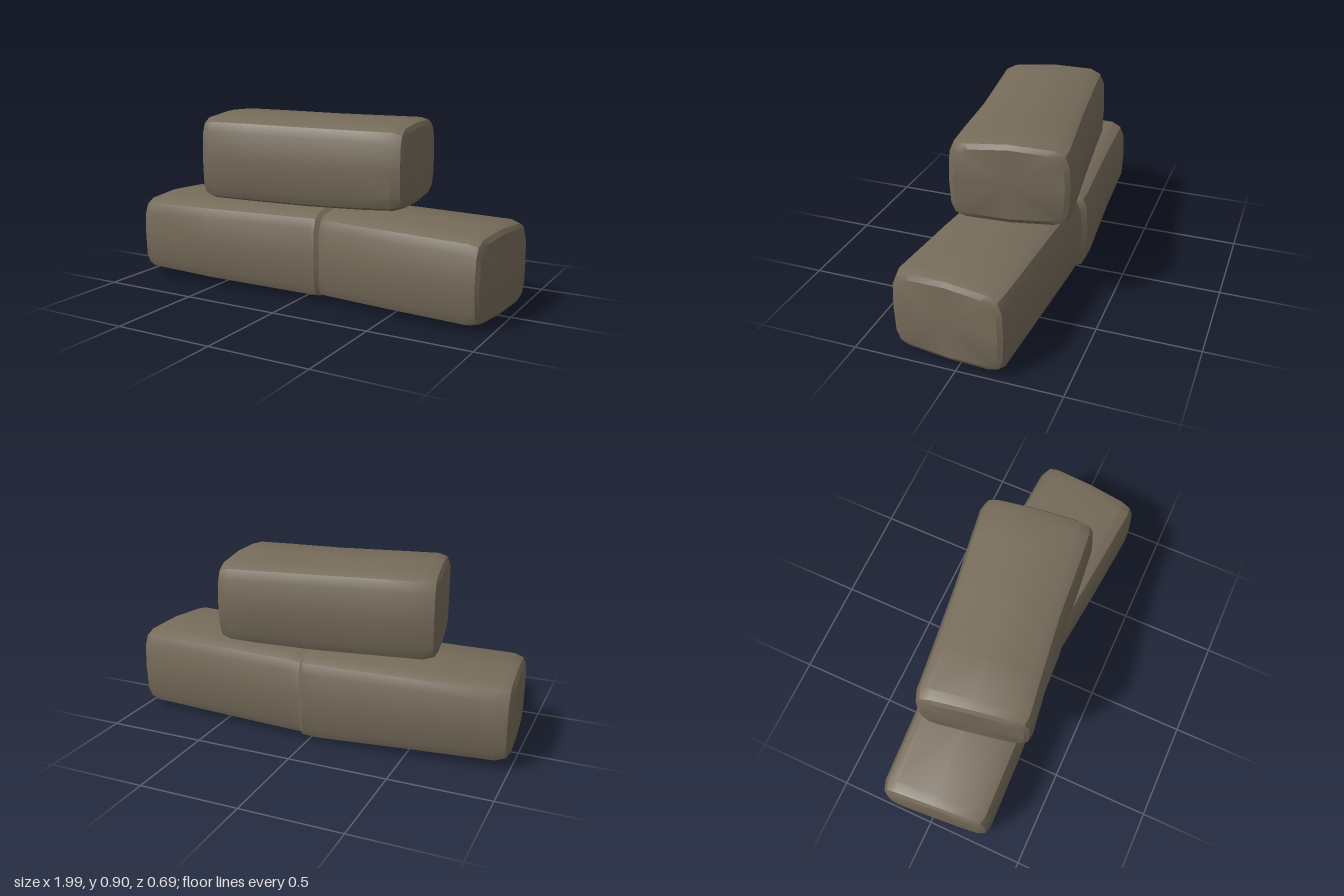
import * as THREE from 'three';
import { toCreasedNormals } from 'three/addons/utils/BufferGeometryUtils.js';

// One worn cross-section, from its back point to its front point, shrunk by inset
function section([xb, zb, xf, zf, y0, y1], inset) {
  const len = Math.hypot(xf - xb, zf - zb);
  const dx = (xf - xb) / len, dz = (zf - zb) / len;
  const a = inset, b = len - inset, lo = y0 + inset, hi = y1 - inset;
  const mid = (lo + hi) / 2, m = len / 2;
  const ring = [
    [m, hi], [b - 0.075, hi - 0.012], [b - 0.027, hi - 0.037], [b - 0.006, hi - 0.085],
    [b, mid], [b - 0.006, lo + 0.075], [b - 0.027, lo + 0.027], [b - 0.075, lo + 0.01],
    [m, lo], [a + 0.075, lo + 0.01], [a + 0.027, lo + 0.027], [a + 0.006, lo + 0.075],
    [a, mid], [a + 0.006, hi - 0.085], [a + 0.027, hi - 0.037], [a + 0.075, hi - 0.012],
  ];
  return ring.map(([u, y]) => new THREE.Vector3(xb + dx * u, y, zb + dz * u));
}

// Moves a station part of the way towards its neighbour
function towards(s, t, dist) {
  const k = dist / Math.abs((t[0] + t[2] - s[0] - s[2]) / 2);
  return s.map((v, i) => v + (t[i] - v) * k);
}

// Lofts a stone through stations running along x, with chamfered ends
function stoneGeometry(stations) {
  const n = stations.length;
  const end = (s, t) => [
    section(s, 0.034),
    section(towards(s, t, 0.014), 0.012),
    section(towards(s, t, 0.06), 0),
  ];
  const rings = [
    ...end(stations[0], stations[1]),
    ...stations.slice(1, -1).map((s) => section(s, 0)),
    ...end(stations[n - 1], stations[n - 2]).reverse(),
  ];
  const count = rings[0].length;
  const pos = [];
  const tri = (...pts) => pts.forEach((p) => pos.push(p.x, p.y, p.z));
  for (let i = 0; i < rings.length - 1; i++) {
    for (let j = 0; j < count; j++) {
      const k = (j + 1) % count;
      const a = rings[i][j], b = rings[i][k], c = rings[i + 1][k], d = rings[i + 1][j];
      tri(a, b, c);
      tri(a, c, d);
    }
  }
  // end faces
  [rings[0], rings[rings.length - 1]].forEach((ring, e) => {
    const centre = ring.reduce((s, p) => s.add(p), new THREE.Vector3()).divideScalar(count);
    for (let j = 0; j < count; j++) {
      const k = (j + 1) % count;
      if (e) tri(centre, ring[j], ring[k]);
      else tri(centre, ring[k], ring[j]);
    }
  });
  const geometry = new THREE.BufferGeometry();
  geometry.setAttribute('position', new THREE.Float32BufferAttribute(pos, 3));
  return toCreasedNormals(geometry, 0.5);
}

export function createModel() {
  const group = new THREE.Group();
  const stone = new THREE.MeshStandardMaterial({ color: 0x766b5a });
  stone.name = 'stone';

  const add = (name, stations) => {
    const mesh = new THREE.Mesh(stoneGeometry(stations), stone);
    mesh.name = name;
    group.add(mesh);
  };

  // stations: back x, back z, front x, front z, bottom y, top y
  // long bent slab with a cracked step near its middle
  add('baseStone', [
    [-1.0, -0.25, -0.955, 0.31, 0.03, 0.437],
    [-0.5, -0.275, -0.54, 0.297, 0.012, 0.442],
    [-0.06, -0.31, 0.06, 0.262, 0.0, 0.45],
    [0.02, -0.308, 0.085, 0.262, 0.002, 0.45],
    [0.045, -0.285, 0.105, 0.248, 0.004, 0.436],
    [0.1, -0.285, 0.14, 0.254, 0.004, 0.445],
    [0.5, -0.263, 0.48, 0.292, 0.006, 0.445],
    [1.0, -0.235, 0.945, 0.335, 0.01, 0.442],
  ]);

  // shorter block laid askew on top
  add('topStone', [
    [-0.625, -0.212, -0.525, 0.348, 0.462, 0.9],
    [-0.35, -0.243, -0.29, 0.314, 0.457, 0.898],
    [-0.03, -0.283, 0.03, 0.272, 0.453, 0.893],
    [0.25, -0.325, 0.32, 0.25, 0.462, 0.892],
    [0.455, -0.355, 0.535, 0.228, 0.474, 0.891],
  ]);

  return group;
}
